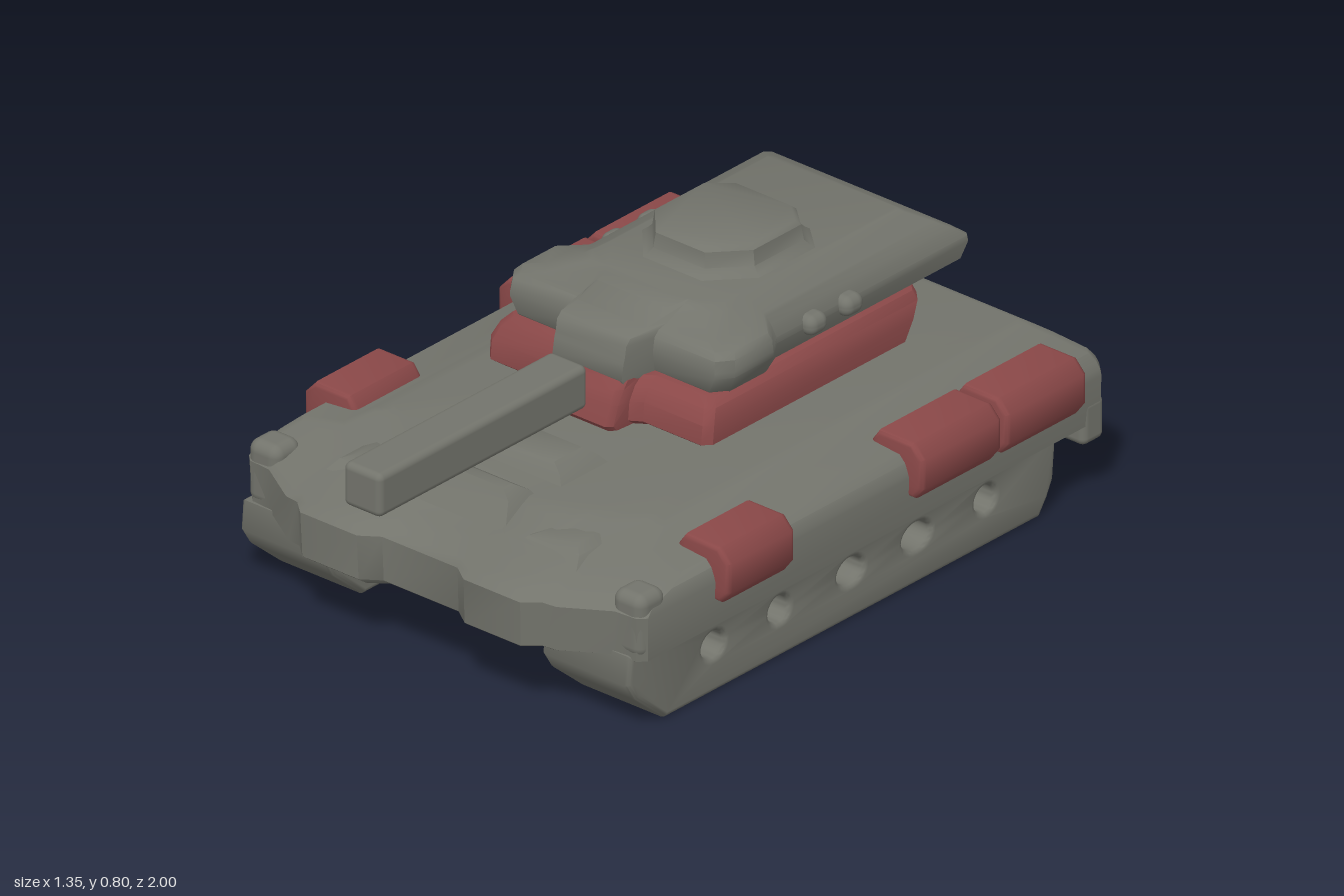
import * as THREE from 'three';
import { toCreasedNormals } from 'three/addons/utils/BufferGeometryUtils.js';
import { RoundedBoxGeometry } from 'three/addons/geometries/RoundedBoxGeometry.js';

const armour = new THREE.MeshStandardMaterial({ color: 0x73746c });
armour.name = 'armour grey';
const red = new THREE.MeshStandardMaterial({ color: 0x8a4848 });
red.name = 'dull red';

// Mirror a right-hand list of [x, z] points into a closed outline
const mirror = (half) => [...half, ...half.map(([x, z]) => [-x, z]).reverse()];

// Stack outlines at successive heights, with a cap on each end
function loft(rings) {
  const pos = [];
  const put = (...pts) => pts.forEach((p) => pos.push(...p));
  const at = ({ y, pts }, i) => {
    const [x, z] = pts[i % pts.length];
    return [x, y, z];
  };
  for (let r = 0; r + 1 < rings.length; r++) {
    for (let i = 0; i < rings[r].pts.length; i++) {
      const a = at(rings[r], i), b = at(rings[r], i + 1);
      const c = at(rings[r + 1], i), d = at(rings[r + 1], i + 1);
      put(a, c, b, b, c, d);
    }
  }
  const cap = (ring, up) => {
    const flat = ring.pts.map(([x, z]) => new THREE.Vector2(x, z));
    for (const [i, j, k] of THREE.ShapeUtils.triangulateShape(flat, [])) {
      const a = at(ring, i), b = at(ring, j), c = at(ring, k);
      const ny = (b[2] - a[2]) * (c[0] - a[0]) - (b[0] - a[0]) * (c[2] - a[2]);
      if (ny > 0 === up) put(a, b, c);
      else put(a, c, b);
    }
  };
  cap(rings[0], false);
  cap(rings[rings.length - 1], true);
  const geo = new THREE.BufferGeometry();
  geo.setAttribute('position', new THREE.Float32BufferAttribute(pos, 3));
  return toCreasedNormals(geo, 0.7);
}

function add(parent, name, geo, mat, x = 0, y = 0, z = 0) {
  const mesh = new THREE.Mesh(geo, mat);
  mesh.name = name;
  mesh.position.set(x, y, z);
  parent.add(mesh);
  return mesh;
}

const box = (w, h, d, r = 0.02) => new RoundedBoxGeometry(w, h, d, 3, r);

// Low mound from [height, half width, front, back] steps
const mound = (steps) => loft(steps.map(([y, w, f, b]) => ({ y, pts: mirror([[w, b], [w, f]]) })));

// Hull plan: straight sides and a stepped nose with a shallow middle notch
function hullRing(y, w, front, back) {
  const k = w / 0.635;
  return {
    y,
    pts: mirror([
      [w - 0.02, back], [w, back + 0.02], [w, front - 0.14], [w - 0.02, front - 0.12],
      [0.55 * k, front - 0.115], [0.43 * k, front - 0.04], [0.39 * k, front - 0.035],
      [0.35 * k, front], [0.17 * k, front], [0.12 * k, front - 0.035],
    ]),
  };
}

// Turret base plan: a rectangle with the gun mount projecting in front
const baseRing = (y, w, front, back, mount) => ({
  y,
  pts: mirror([
    [w - 0.03, back], [w, back + 0.03], [w, front - 0.02], [w - 0.02, front],
    [0.15, front], [0.12, front + 0.02], [0.115, mount - 0.015], [0.1, mount],
  ]),
});

// Turret plan: narrow rear, wider cheeks, gun mount in the middle
const turretRing = (y, rear, cheek, back, front, mount) => ({
  y,
  pts: mirror([
    [rear - 0.01, back], [rear, back + 0.01], [rear, -0.16], [cheek, -0.1],
    [cheek, front - 0.04], [cheek - 0.03, front], [0.13, front], [0.11, mount],
  ]),
});

function trackGeometry() {
  const side = new THREE.Shape([
    [0.56, 0.015], [0.66, 0.1], [0.685, 0.14], [0.68, 0.2], [-0.845, 0.2],
    [-0.835, 0.09], [-0.815, 0.05], [-0.79, 0.015],
  ].map(([z, y]) => new THREE.Vector2(z, y)));
  // Wheel openings
  for (const [z, r] of [[0.39, 0.055], [0.15, 0.052], [-0.11, 0.062], [-0.35, 0.066], [-0.6, 0.052]]) {
    const hole = new THREE.Path();
    hole.absellipse(z, 0.128, r, 0.05, 0, Math.PI * 2, true);
    side.holes.push(hole);
  }
  const geo = new THREE.ExtrudeGeometry(side, {
    depth: 0.25, bevelThickness: 0.015, bevelSize: 0.015, bevelSegments: 3, curveSegments: 14,
  });
  geo.translate(0, 0, -0.125);
  geo.rotateY(-Math.PI / 2);
  return toCreasedNormals(geo, 0.7);
}

// Stowage box with a chamfered outer edge, running from z = back to front
function stowageGeometry(front, back) {
  const end = new THREE.Shape([
    [0.525, 0.285], [0.645, 0.285], [0.664, 0.31], [0.664, 0.38], [0.638, 0.408], [0.54, 0.408], [0.52, 0.38],
  ].map(([x, y]) => new THREE.Vector2(x, y)));
  const geo = new THREE.ExtrudeGeometry(end, {
    depth: front - back - 0.03, bevelThickness: 0.015, bevelSize: 0.012, bevelSegments: 3,
  });
  geo.translate(0, 0, back + 0.015);
  return toCreasedNormals(geo, 0.8);
}

export function createModel() {
  const model = new THREE.Group();
  model.name = 'tank';

  // Hull shell, hollow underneath
  const hull = new THREE.Group();
  hull.name = 'hull';
  model.add(hull);
  add(hull, 'hullShell', loft([
    hullRing(0.365, 0.49, 0.62, -0.94), hullRing(0.19, 0.5, 0.69, -0.945),
    hullRing(0.19, 0.6, 0.785, -0.99), hullRing(0.205, 0.63, 0.805, -1),
    hullRing(0.325, 0.635, 0.81, -1), hullRing(0.342, 0.63, 0.79, -1),
    hullRing(0.362, 0.622, 0.71, -0.995), hullRing(0.38, 0.605, 0.65, -0.985),
    hullRing(0.39, 0.5, 0.62, -0.98), hullRing(0.412, 0.465, 0.55, -0.95),
    hullRing(0.42, 0.43, 0.52, -0.93),
  ]), armour);
  add(hull, 'rearPlateSkirt', box(0.72, 0.13, 0.07), armour, 0, 0.187, -0.963);
  for (const s of [-1, 1]) {
    add(hull, 'rearCorner', box(0.28, 0.12, 0.08), armour, s * 0.493, 0.21, -0.957);
    add(hull, 'frontFender', box(0.1, 0.17, 0.1, 0.03), armour, s * 0.58, 0.295, 0.64);
    const lump = mound([[0.35, 0.11, 0.68, 0.47], [0.39, 0.08, 0.63, 0.5], [0.402, 0.05, 0.6, 0.53]]);
    add(hull, 'noseLump', lump, armour, s * 0.3);
  }
  add(hull, 'driverHatch', mound([
    [0.4, 0.19, 0.45, 0.25], [0.44, 0.155, 0.42, 0.28], [0.456, 0.12, 0.4, 0.3],
  ]), armour, -0.02);
  add(hull, 'glacisBlock', mound([
    [0.36, 0.18, 0.65, 0.47], [0.43, 0.14, 0.59, 0.51], [0.452, 0.11, 0.575, 0.545],
  ]), armour, -0.02);

  // Tracks, with the inner rail and struts open to the hollow hull
  const track = trackGeometry();
  for (const [name, x, inner] of [['leftTrack', 0.46, 0.335], ['rightTrack', -0.5, -0.375]]) {
    add(model, name, track, armour, x);
    add(model, 'innerRail', box(0.05, 0.05, 1.42, 0.022), armour, inner, 0.185, -0.1);
    for (const z of [0.39, 0.15, -0.11, -0.35, -0.6]) {
      add(model, 'innerStrut', box(0.05, 0.21, 0.07, 0.022), armour, inner, 0.28, z);
    }
  }

  // Stowage boxes along the deck edges
  for (const [front, back] of [[0.425, 0.18], [-0.28, -0.572], [-0.588, -0.882]]) {
    const stowage = stowageGeometry(front, back);
    add(model, 'leftStowageBox', stowage, red);
    const opposite = stowage.clone().rotateY(Math.PI).translate(0, 0, front + back);
    add(model, 'rightStowageBox', opposite, red);
  }

  // Turret
  const turret = new THREE.Group();
  turret.name = 'turret';
  turret.position.x = 0.005;
  model.add(turret);
  add(turret, 'turretBase', loft([
    baseRing(0.465, 0.335, 0.12, -0.585, 0.21), baseRing(0.48, 0.355, 0.14, -0.61, 0.222),
    baseRing(0.53, 0.355, 0.135, -0.64, 0.205), baseRing(0.565, 0.342, 0.115, -0.67, 0.185),
    baseRing(0.585, 0.325, 0.09, -0.67, 0.17),
  ]), red);
  add(turret, 'turretBody', loft([
    turretRing(0.575, 0.29, 0.325, -0.81, 0.065, 0.165), turretRing(0.588, 0.308, 0.335, -0.845, 0.075, 0.172),
    turretRing(0.63, 0.315, 0.355, -0.865, 0.08, 0.165), turretRing(0.645, 0.313, 0.355, -0.863, 0.08, 0.16),
    turretRing(0.675, 0.295, 0.352, -0.825, 0.075, 0.155), turretRing(0.69, 0.28, 0.338, -0.8, 0.06, 0.14),
    turretRing(0.697, 0.27, 0.29, -0.79, 0.03, 0.08), turretRing(0.722, 0.22, 0.225, -0.745, -0.03, 0.01),
    turretRing(0.73, 0.205, 0.21, -0.73, -0.05, -0.02),
  ]), armour);
  for (const s of [-1, 1]) {
    for (const z of [-0.29, -0.42]) {
      add(turret, 'sideFitting', box(0.06, 0.055, 0.07, 0.025), armour, s * 0.312, 0.635, z);
    }
  }
  add(turret, 'cupola', loft([[0.715, 0.21], [0.735, 0.178], [0.75, 0.163], [0.79, 0.157], [0.8, 0.145]]
    .map(([y, r]) => ({
      y,
      pts: mirror([[0.6 * r, -0.325 - r], [r, -0.325 - 0.65 * r], [r, -0.325 + 0.45 * r], [0.5 * r, -0.325 + r]]),
    }))), armour);

  // Gun, held clear of its mount
  add(model, 'gunBarrel', box(0.12, 0.118, 0.76, 0.018), armour, 0.01, 0.585, 0.62);

  return model;
}
